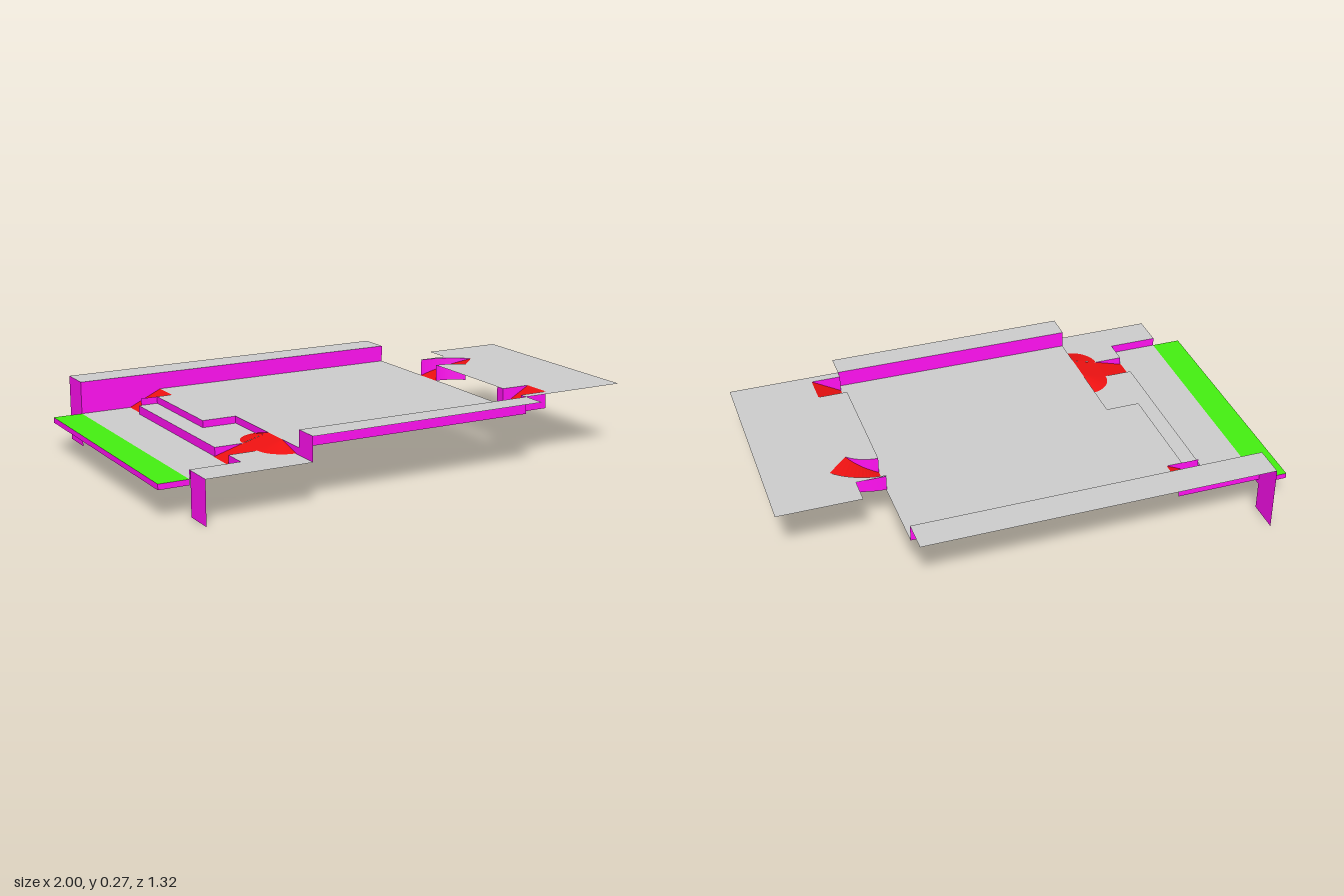
import * as THREE from 'three';

const material = (color) => new THREE.MeshStandardMaterial({ color, side: THREE.DoubleSide, flatShading: true });

// Floor heights
const GROUND = 0, EDGE = 0.115, LOW = 0.137, MID = 0.172, MAIN = 0.2, HIGH = 0.268;

export function createModel() {
  const model = new THREE.Group();
  const grey = material(0xcccccc), magenta = material(0xff10f0);
  const red = material(0xee1111), green = material(0x44ee11);

  const add = (name, geometry, mat) => {
    const mesh = new THREE.Mesh(geometry, mat);
    mesh.name = name;
    model.add(mesh);
    return mesh;
  };
  const toPoints = (pts) => pts.map(([x, z]) => new THREE.Vector2(x, z));
  const rect = (x0, x1, z0, z1) => [[x0, z0], [x1, z0], [x1, z1], [x0, z1]];

  // Flat sheet from an outline in x, z, with optional holes
  const sheet = (name, outline, y, mat = grey, holes = []) => {
    const shape = new THREE.Shape(toPoints(outline));
    holes.forEach((h) => shape.holes.push(new THREE.Path(toPoints(h))));
    const geometry = new THREE.ShapeGeometry(shape).rotateX(Math.PI / 2);
    return add(name, geometry.translate(0, y, 0), mat);
  };

  // Strip of quads between two rows of 3D points
  const strip = (name, a, b, mat) => {
    const pos = [], index = [];
    a.forEach((p, i) => {
      pos.push(...p, ...b[i]);
      const k = 2 * i;
      if (i > 0) index.push(k - 2, k, k - 1, k - 1, k, k + 1);
    });
    const geometry = new THREE.BufferGeometry();
    geometry.setAttribute('position', new THREE.Float32BufferAttribute(pos, 3));
    geometry.setIndex(index);
    geometry.computeVertexNormals();
    return add(name, geometry, mat);
  };
  const wall = (name, path, y0, y1) =>
    strip(name, path.map(([x, z]) => [x, y0, z]), path.map(([x, z]) => [x, y1, z]), magenta);
  const ramp = (name, x0, x1, z0, z1, y0, y1) =>
    strip(name, [[x0, y0, z0], [x1, y1, z0]], [[x0, y0, z1], [x1, y1, z1]], red);

  // Green edge slab
  const slab = rect(-1, -0.88, -0.53, 0.52);
  sheet('edgeSlabTop', slab, LOW, green);
  sheet('edgeSlabBottom', slab, EDGE, green);
  wall('edgeSlabSides', [...slab, slab[0]], EDGE, LOW);

  // Low floor
  sheet('lowFloor', [[-0.88, -0.53], [-0.67, -0.53], [-0.67, -0.41], [-0.68, -0.41], [-0.68, 0.52], [-0.88, 0.52]], LOW);

  // Middle floor, cut out for the fan ramp
  sheet('middleFloor', [
    [-0.68, -0.41], [-0.6, -0.41], [-0.6, 0.03], [-0.46, 0.03], [-0.46, 0.655], [-0.88, 0.655], [-0.88, 0.52],
    [-0.68, 0.52], [-0.68, 0.42], [-0.565, 0.42], [-0.565, 0.305], [-0.68, 0.305],
  ], MID);
  wall('middleRiser', [[-0.67, -0.41], [-0.68, -0.41], [-0.68, 0.305], [-0.565, 0.305]], LOW, MID);
  wall('middleRiser', [[-0.565, 0.42], [-0.68, 0.42], [-0.68, 0.52], [-0.88, 0.52]], LOW, MID);
  wall('cornerEnd', [[-0.88, 0.53], [-0.88, 0.655]], GROUND, MID);

  // Main floor
  sheet('mainFloor', [
    [-0.535, -0.53], [0.54, -0.53], [0.545, 0.02], [0.54, 0.555], [-0.46, 0.55], [-0.46, 0.03],
    [-0.6, 0.03], [-0.6, -0.41], [-0.535, -0.41],
  ], MAIN);
  wall('mainRiser', [[-0.6, -0.41], [-0.6, 0.03], [-0.46, 0.03], [-0.46, 0.305]], MID, MAIN);
  wall('mainRiser', [[-0.46, 0.42], [-0.46, 0.55]], MID, MAIN);

  // Ramp from the low floor to the main floor
  ramp('backRamp', -0.67, -0.535, -0.53, -0.41, LOW, MAIN);
  wall('backRampSide', [[-0.67, -0.41], [-0.535, -0.41]], LOW, MAIN);

  // Ramp that opens into a fan with two quarter cones
  ramp('fanRampLower', -0.685, -0.565, 0.305, 0.42, LOW, MID);
  ramp('fanRampUpper', -0.565, -0.46, 0.305, 0.42, MID, MAIN);
  for (const [z, side] of [[0.305, -1], [0.42, 1]]) {
    const apex = [], rim = [];
    for (let i = 0; i <= 10; i++) {
      const t = (i / 10) * Math.PI / 2;
      apex.push([-0.46, MAIN, z]);
      rim.push([-0.46 - 0.105 * Math.cos(t), MID + 0.001, z + side * 0.105 * Math.sin(t)]);
    }
    strip('fanRampCone', apex, rim, red);
  }

  // Back ledge
  sheet('backLedge', rect(-0.88, 0.54, -0.66, -0.53), HIGH);
  wall('backWall', [[-0.535, -0.53], [0.54, -0.53]], MAIN, HIGH);
  wall('backWallLow', [[-0.88, -0.53], [-0.535, -0.53]], LOW, HIGH);
  wall('backLedgeEnd', [[-0.88, -0.66], [-0.88, -0.53]], GROUND, HIGH);

  // Front ledge
  sheet('frontLedge', [[-0.46, 0.55], [0.54, 0.555], [0.54, 0.655], [-0.46, 0.655]], HIGH);
  wall('frontWall', [[-0.46, 0.55], [0.54, 0.555]], MAIN, HIGH);
  wall('frontLedgeEnd', [[-0.46, 0.55], [-0.46, 0.655]], MID, HIGH);

  // Curved ramp: an eighth of a ring around (0.54, 0.08)
  const arc = (r) => Array.from({ length: 13 }, (_, i) => {
    const t = (i / 12) * Math.PI / 4;
    return [0.54 + r * Math.sin(t), 0.08 - r * Math.cos(t)];
  });
  const inner = arc(0.167), outer = arc(0.283);
  const climb = (path) => path.map(([x, z], i) => [x, MAIN + (HIGH - MAIN) * i / 12, z]);
  strip('curvedRamp', climb(inner), climb(outer), red);
  wall('curvedRampInnerWall', inner, MAIN, HIGH);
  wall('curvedRampOuterWall', outer, MAIN, HIGH);

  // Straight ramp beside it
  ramp('sideRamp', 0.54, 0.66, 0.4, 0.52, MAIN, HIGH);
  wall('sideRampWall', [[0.54, 0.36], [0.54, 0.4], [0.66, 0.4]], MAIN, HIGH);
  wall('sideRampWall', [[0.66, 0.52], [0.54, 0.52], [0.54, 0.555]], MAIN, HIGH);

  // Side platform, cut out for both ramps
  sheet('sidePlatform', [
    [0.66, -0.32], [0.995, -0.32], [0.995, 0.555], [0.54, 0.555], [0.54, 0.52], [0.66, 0.52], [0.66, 0.4],
    [0.54, 0.4], ...inner, ...outer.slice().reverse(), [0.54, -0.21], [0.66, -0.21],
  ], HIGH);

  return model;
}
